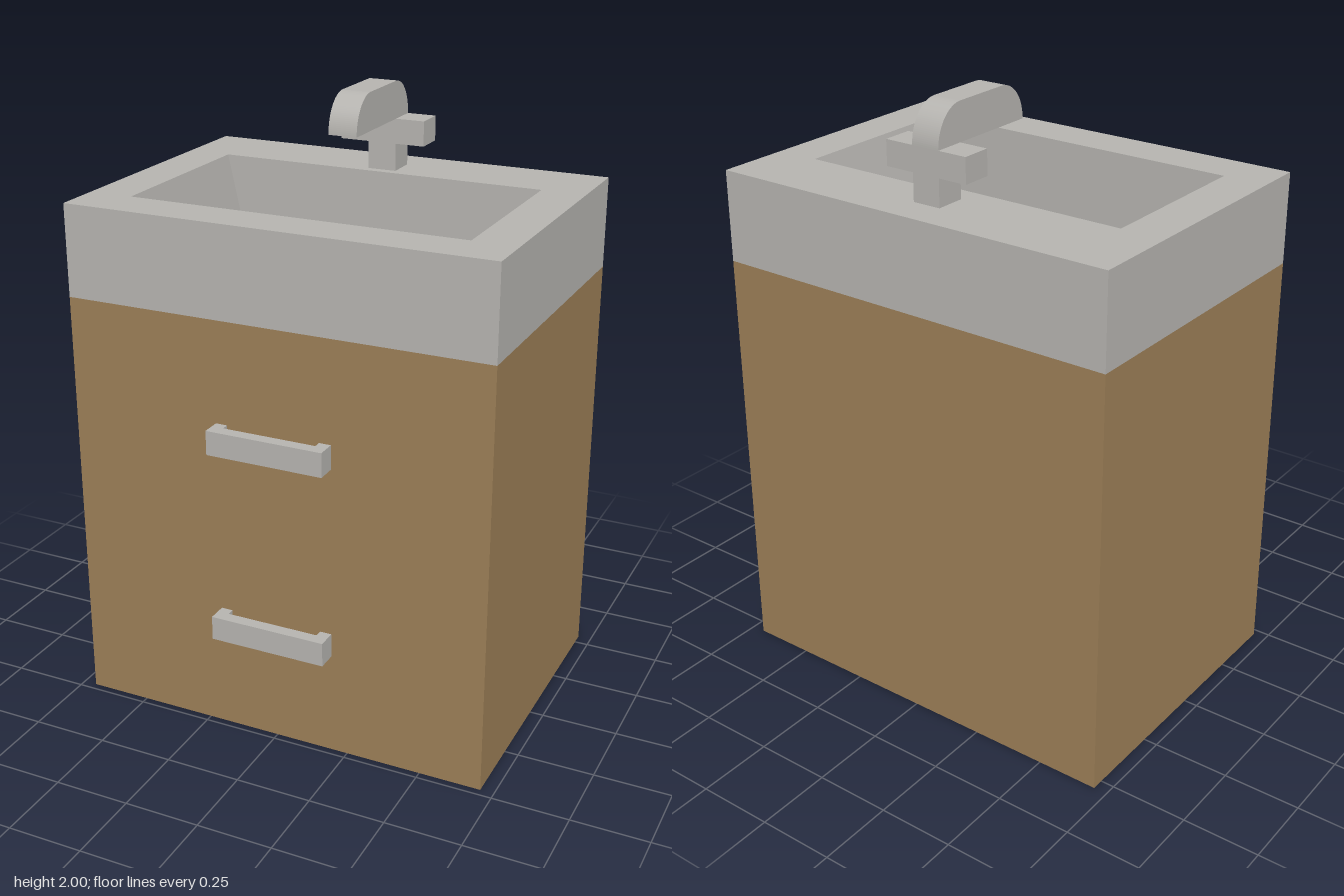
import * as THREE from 'three';

export function createModel() {
  const model = new THREE.Group();
  model.name = 'sinkCabinet';
  const material = (name, color) => {
    const m = new THREE.MeshStandardMaterial({ color });
    m.name = name;
    return m;
  };
  const stone = material('light grey', 0xb5b3af);
  const wood = material('wood brown', 0x9b7e56);

  const add = (name, geometry, mat, parent = model) => {
    const mesh = new THREE.Mesh(geometry, mat);
    mesh.name = name;
    parent.add(mesh);
    return mesh;
  };
  // Box given by its limits on each axis
  const box = (name, mat, [x0, x1], [y0, y1], [z0, z1], parent) => {
    const g = new THREE.BoxGeometry(x1 - x0, y1 - y0, z1 - z0);
    g.translate((x0 + x1) / 2, (y0 + y1) / 2, (z0 + z1) / 2);
    return add(name, g, mat, parent);
  };

  // Cabinet body
  const W = 0.705, back = -0.54, front = 0.475, base = 1.405, top = 1.705;
  box('cabinet', wood, [-W, W], [0, base], [back, front]);

  // Basin block: solid front and back, with a trough between them
  const basin = new THREE.Group();
  basin.name = 'basin';
  model.add(basin);
  const zBack = -0.295, zFront = 0.322, floor = 1.455;
  box('basinBack', stone, [-W, W], [base, top], [back, zBack], basin);
  box('basinFront', stone, [-W, W], [base, top], [zFront, front], basin);
  const trough = new THREE.Shape([
    [-W, base], [W, base], [W, top], [0.56, top],
    [0.505, floor], [-0.505, floor], [-0.56, top], [-W, top],
  ].map(([x, y]) => new THREE.Vector2(x, y)));
  const troughGeo = new THREE.ExtrudeGeometry(trough, { depth: zFront - zBack, bevelEnabled: false });
  troughGeo.translate(0, 0, zBack);
  add('basinTrough', troughGeo, stone, basin);

  // Drain disc on the basin floor
  const drain = add('drain', new THREE.CylinderGeometry(0.065, 0.065, 0.004, 32), wood, basin);
  drain.position.set(0, floor + 0.002, -0.14);

  // Tap: post, cross handle and rounded spout
  const tap = new THREE.Group();
  tap.name = 'tap';
  model.add(tap);
  const r = 0.048, tapBack = -0.425, under = 1.877;
  box('tapPost', stone, [-r, r], [top, under], [tapBack, -0.325], tap);
  for (const s of [-1, 1]) {
    box('tapHandle', stone, s < 0 ? [-0.146, -r] : [r, 0.146], [1.795, under], [tapBack, -0.325], tap);
  }
  // Side profile drawn in (-z, y), extruded across x
  const spout = new THREE.Shape();
  spout.moveTo(0.02, under);
  spout.lineTo(0.425, under);
  spout.absellipse(0.32, under, 0.105, 2 - under, 0, Math.PI / 2, false);
  spout.lineTo(0.125, 2);
  spout.absellipse(0.125, under, 0.105, 2 - under, Math.PI / 2, Math.PI, false);
  const spoutGeo = new THREE.ExtrudeGeometry(spout, { depth: 2 * r, bevelEnabled: false, curveSegments: 16 });
  spoutGeo.translate(0, 0, -r);
  spoutGeo.rotateY(Math.PI / 2);
  add('tapSpout', spoutGeo, stone, tap);

  // Drawer pulls: flat bracket outline extruded upwards
  const bracket = new THREE.Shape([
    [-0.195, 0.475], [-0.195, 0.54], [0.195, 0.54], [0.195, 0.475],
    [0.156, 0.475], [0.156, 0.5], [-0.156, 0.5], [-0.156, 0.475],
  ].map(([x, z]) => new THREE.Vector2(x, -z)));
  const pullGeo = new THREE.ExtrudeGeometry(bracket, { depth: 0.08, bevelEnabled: false });
  pullGeo.rotateX(-Math.PI / 2);
  for (const [name, y] of [['lowerPull', 0.345], ['upperPull', 0.99]]) {
    add(name, pullGeo, stone).position.y = y;
  }

  return model;
}
